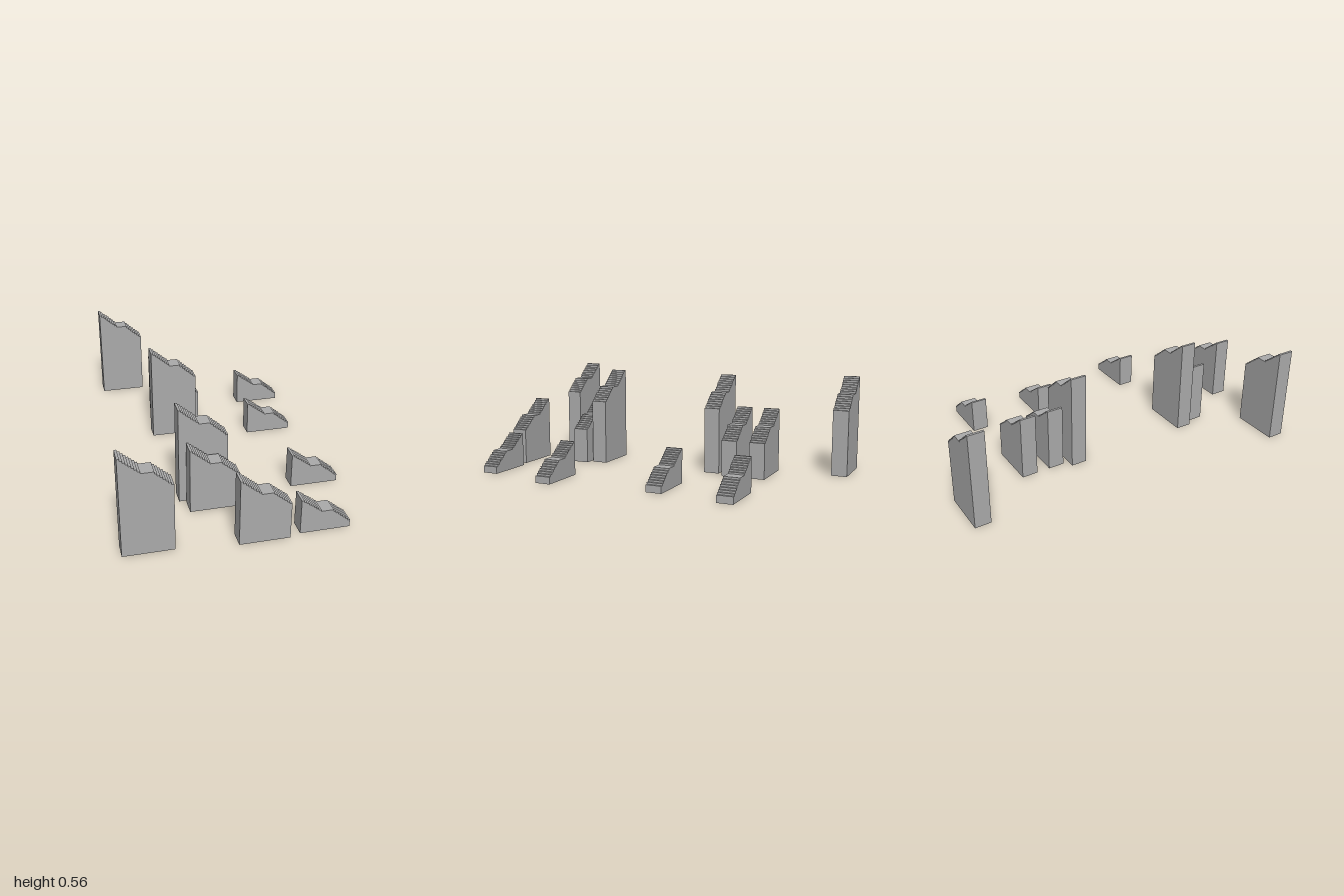
import * as THREE from 'three';

const WIDTH = 0.271, DEPTH = 0.092;
const TREAD = WIDTH / 20; // 8 treads, a landing 5 treads long, 7 treads

// Heights of the top step, the landing and the lowest step
const TIERS = {
  tall: { top: 0.558, landing: 0.467, end: 0.384 },
  middle: { top: 0.373, landing: 0.286, end: 0.209 },
  low: { top: 0.198, landing: 0.118, end: 0.041 },
};

// Left edge x and centre z of every stair block
const BLOCKS = {
  tall: [[-0.5, -0.954], [-0.277, -0.249], [-0.27, 0.505], [-0.645, 0.914]],
  middle: [[-0.233, -0.543], [-0.233, -0.375], [-0.233, 0.617], [-0.055, 0.954]],
  low: [[0.355, -0.576], [0.305, -0.153], [0.372, 0.501], [0.275, 0.932]],
};

// Solid block whose upper edge descends in two flights around a landing
function stairGeometry({ top, landing, end }) {
  const shape = new THREE.Shape();
  shape.moveTo(0, 0);
  shape.lineTo(0, top);
  let x = 0, y = top;
  const step = (run, nextY) => {
    x += run;
    shape.lineTo(x, y);
    y = nextY;
    shape.lineTo(x, y);
  };
  for (let i = 1; i <= 8; i++) step(TREAD, top + (landing - top) * i / 8);
  step(TREAD * 5, landing + (end - landing) / 7);
  for (let i = 2; i <= 7; i++) step(TREAD, landing + (end - landing) * i / 7);
  step(TREAD, 0);
  shape.closePath();
  const geometry = new THREE.ExtrudeGeometry(shape, { depth: DEPTH, bevelEnabled: false });
  return geometry.translate(0, 0, -DEPTH / 2);
}

export function createModel() {
  const model = new THREE.Group();
  model.name = 'stairBlocks';
  const concrete = new THREE.MeshStandardMaterial({ color: 0xaaaaaa });
  concrete.name = 'concrete grey';

  for (const [tier, places] of Object.entries(BLOCKS)) {
    const geometry = stairGeometry(TIERS[tier]);
    places.forEach(([x, z], i) => {
      const block = new THREE.Mesh(geometry, concrete);
      block.name = `${tier}Stair${i + 1}`;
      block.position.set(x, 0, z);
      model.add(block);
    });
  }
  return model;
}
